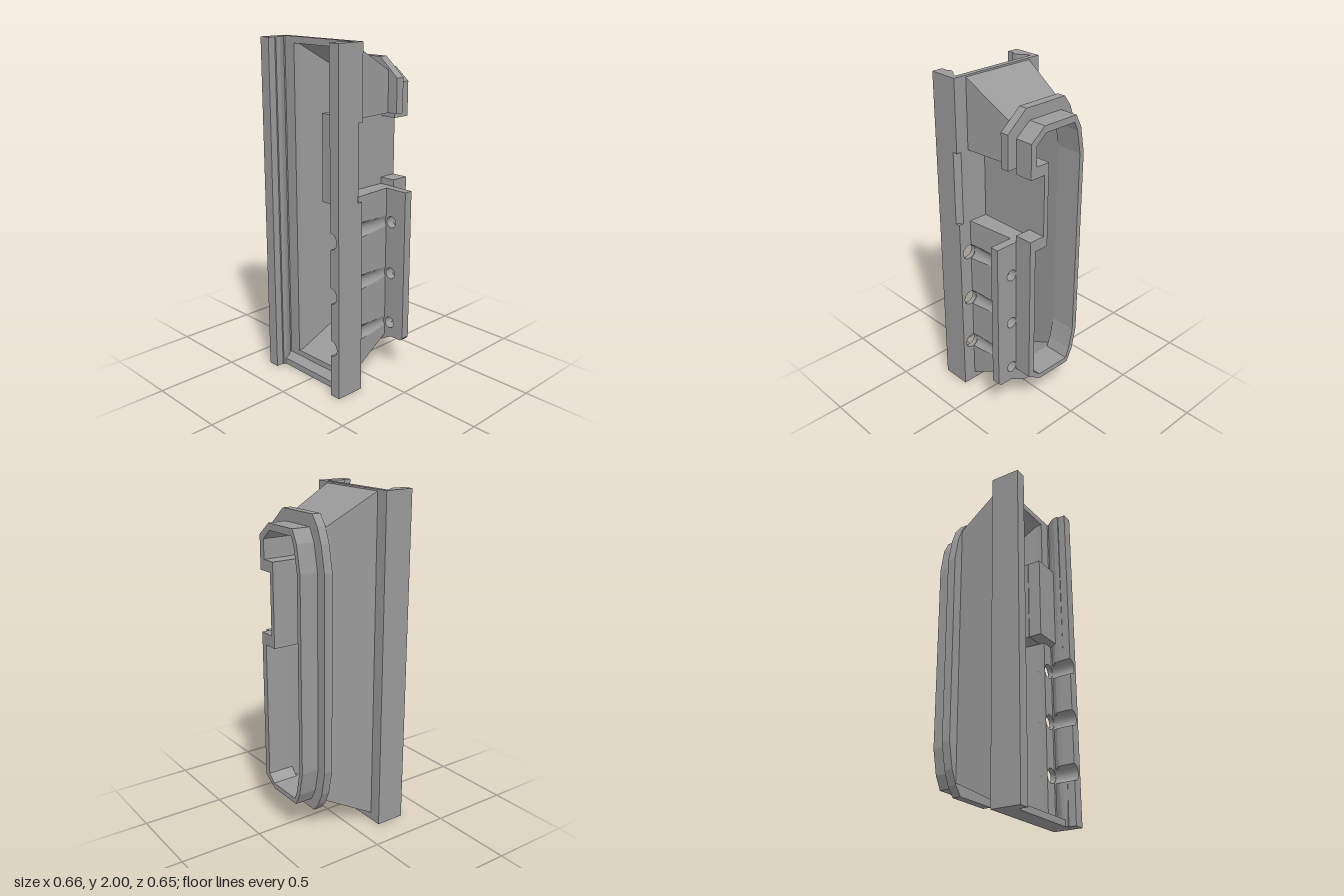
import * as THREE from 'three';
import { mergeGeometries } from 'three/addons/utils/BufferGeometryUtils.js';

const HOLES_Y = [0.3, 0.62, 0.94], HOLE_X = 0.225, GROOVE_R = 0.048;
const BACK = 0.147, FLANGE = -0.163, COLLAR = -0.215, END = -0.325;

const toPath = (pts, Type) => new Type(pts.map(p => new THREE.Vector2(p[0], p[1])));

function circle(x, y, r) {
  const p = new THREE.Path();
  p.absarc(x, y, r, 0, Math.PI * 2, true);
  return p;
}

// Flat slab in the XY plane between two depths
function slab(outline, holes, z0, z1) {
  const s = toPath(outline, THREE.Shape);
  s.holes = holes;
  return new THREE.ExtrudeGeometry(s, { depth: z1 - z0, bevelEnabled: false, curveSegments: 16 }).translate(0, 0, z0);
}

function box(x0, x1, y0, y1, z0, z1) {
  return new THREE.BoxGeometry(x1 - x0, y1 - y0, z1 - z0)
    .translate((x0 + x1) / 2, (y0 + y1) / 2, (z0 + z1) / 2);
}

// Faceted skin over rows of points; skip(row) leaves a gap
function skin(rows, skip = () => false) {
  const pos = [];
  for (let i = 0; i < rows.length - 1; i++) {
    if (skip(i)) continue;
    for (let j = 0; j < rows[i].length - 1; j++) {
      const a = rows[i][j], b = rows[i][j + 1], c = rows[i + 1][j + 1], d = rows[i + 1][j];
      pos.push(...a, ...b, ...c, ...a, ...c, ...d);
    }
  }
  const g = new THREE.BufferGeometry();
  g.setAttribute('position', new THREE.Float32BufferAttribute(pos, 3));
  g.computeVertexNormals();
  return g;
}

// Heights at which the screw grooves need a cross-section
const grooveYs = [];
for (const y of HOLES_Y)
  for (let k = 0; k <= 12; k++) grooveYs.push(y - GROOVE_R * Math.cos(Math.PI * k / 12));

// Half width in x of the groove cylinder at a height, or null outside it
function grooveReach(y) {
  for (const c of HOLES_Y) {
    const d = Math.abs(y - c);
    if (d <= GROOVE_R + 1e-6) return Math.sqrt(Math.max(0, GROOVE_R ** 2 - d * d));
  }
  return null;
}

// Undercut side rail of the front channel, seen from above (x, z)
const RAIL = [[0.29, 0.178], [0.29, 0.325], [0.222, 0.325], [0.222, 0.28], [0.212, 0.28], [0.212, 0.265],
  [0.214, 0.25], [0.23, 0.222], [0.25, 0.197], [0.257, 0.187], [0.257, 0.178]];

function rail(mirrored) {
  const mx = x => (mirrored ? -0.04 - x : x);
  const ys = mirrored ? [0, 2] : [0, ...grooveYs, 2];
  const rows = ys.map(y => {
    const reach = mirrored ? null : grooveReach(y);
    return RAIL.map(([x, z]) => [mx(reach === null ? x : Math.max(x, HOLE_X + reach)), y, z]);
  });
  const parts = [skin(rows)];
  for (const y of [0, 2]) {
    const cap = new THREE.ShapeGeometry(toPath(RAIL.map(([x, z]) => [mx(x), z]), THREE.Shape));
    parts.push(cap.rotateX(Math.PI / 2).translate(0, y, 0).toNonIndexed());
  }
  parts.forEach(p => p.deleteAttribute('uv'));
  return mergeGeometries(parts);
}

// Tapered four-sided duct skin; the +x wall can carry grooves and has the pocket gap
function duct(front, back, gap, grooved) {
  const at = (i, t) => front[i] + (back[i] - front[i]) * t;
  const zAt = t => BACK + (FLANGE - BACK) * t;
  const p = (xi, yi, t) => [at(xi, t), at(yi, t), zAt(t)];
  const wall = (x0, y0, x1, y1) => skin([[p(x0, y0, 0), p(x0, y0, 1)], [p(x1, y1, 0), p(x1, y1, 1)]]);
  const mids = [...(grooved ? grooveYs : []), gap[0], gap[1]];
  const ts = [0, 0.2, 0.4, 0.6, 0.8, 1];
  const row = y => ts.map(t => {
    const reach = grooved ? grooveReach(y) : null;
    const x = at(1, t);
    return [reach === null ? x : Math.min(x, HOLE_X - reach), y, zAt(t)];
  });
  const rows = [ts.map(t => p(1, 2, t)), ...mids.map(row), ts.map(t => p(1, 3, t))];
  return mergeGeometries([
    wall(0, 3, 0, 2), wall(0, 2, 1, 2), wall(1, 3, 0, 3),
    skin(rows, i => i === rows.length - 3),
  ]);
}

export function createModel() {
  const group = new THREE.Group();
  const grey = new THREE.MeshStandardMaterial({ color: 0x9a9a9a, side: THREE.DoubleSide });
  grey.name = 'plain grey';
  const add = (name, geometry) => {
    const m = new THREE.Mesh(geometry, grey);
    m.name = name;
    group.add(m);
  };

  // Front channel: web plate with opening, two undercut rails, bottom stop
  add('channelWeb', slab(
    [[-0.33, 0], [0.29, 0], [0.29, 1.14], [0.26, 1.14], [0.26, 1.58], [0.29, 1.58], [0.29, 2], [-0.33, 2]],
    [toPath([[-0.22, 0.072], [-0.22, 1.962], [0.18, 1.962], [0.18, 0.072]], THREE.Path),
      ...HOLES_Y.map(y => circle(HOLE_X, y, 0.044))], BACK, 0.178));
  add('rightRail', rail(true));
  add('leftRail', rail(false));
  add('bottomStop', box(-0.298, 0.257, 0, 0.038, 0.178, 0.265));

  // Chamfered relief on the outer edge of the web
  const chamfer = slab([[0.26, -BACK], [0.29, -0.178], [0.26, -0.178]], [], 0, 0.44);
  add('edgeChamfer', chamfer.rotateX(-Math.PI / 2).scale(1, 1, -1).translate(0, 1.14, 0)
    .applyMatrix4(new THREE.Matrix4().makeScale(1, 1, chamferSign(chamfer))));

  // Tapered duct, outside and inside skins
  add('ductOuter', duct([-0.255, 0.21, 0.045, 1.99], [-0.21, 0.185, 0.21, 1.82], [1.14, 1.58], true));
  add('ductInner', duct([-0.22, 0.18, 0.072, 1.962], [-0.18, 0.15, 0.24, 1.78], [1.11, 1.61], false));

  // Side pocket: floor, front block, upper and lower walls
  add('pocketFloor', box(0.06, 0.09, 1.11, 1.61, COLLAR, BACK));
  add('pocketFront', box(0.06, 0.255, 1.11, 1.61, 0.15, 0.228));
  for (const [name, y0, y1] of [['pocketLowerWall', 1.11, 1.14], ['pocketUpperWall', 1.58, 1.61]]) {
    const outline = [[0.06, -BACK], [0.208, -BACK], [0.184, -FLANGE], [0.184, -COLLAR], [0.06, -COLLAR]];
    add(name, slab(outline, [], y0, y1).rotateX(-Math.PI / 2));
  }

  // Bore shared by flange and collar, stepping round the pocket
  const bore = () => toPath([[-0.13, 0.24], [0.1, 0.24], [0.15, 0.285], [0.15, 1.11], [0.06, 1.11], [0.06, 1.61],
    [0.15, 1.61], [0.15, 1.725], [0.085, 1.78], [-0.13, 1.78], [-0.153, 1.73], [-0.18, 1.59], [-0.18, 0.43],
    [-0.153, 0.3]], THREE.Path);

  // Flange with the drilled ear
  add('flange', slab([[-0.165, 0.145], [0.12, 0.145], [0.235, 0.21], [0.315, 0.21], [0.33, 0.228], [0.33, 1.14],
    [0.09, 1.14], [0.09, 1.58], [0.25, 1.58], [0.25, 1.78], [0.12, 1.89], [-0.165, 1.89], [-0.21, 1.83],
    [-0.245, 1.74], [-0.275, 1.59], [-0.275, 0.43], [-0.245, 0.28], [-0.21, 0.2]],
  [bore(), ...HOLES_Y.map(y => circle(HOLE_X, y, 0.034))], COLLAR, FLANGE));

  // Rear collar
  add('collar', slab([[-0.14, 0.208], [0.095, 0.208], [0.19, 0.267], [0.19, 1.18], [0.09, 1.18], [0.09, 1.545],
    [0.19, 1.545], [0.19, 1.745], [0.095, 1.82], [-0.14, 1.82], [-0.18, 1.745], [-0.21, 1.59], [-0.21, 0.43],
    [-0.18, 0.285]], [bore()], END, COLLAR));

  return group;
}

// Keeps the chamfer on the front half of the model
function chamferSign(g) {
  g.computeBoundingBox();
  return g.boundingBox.max.z > 0 ? 1 : -1;
}
